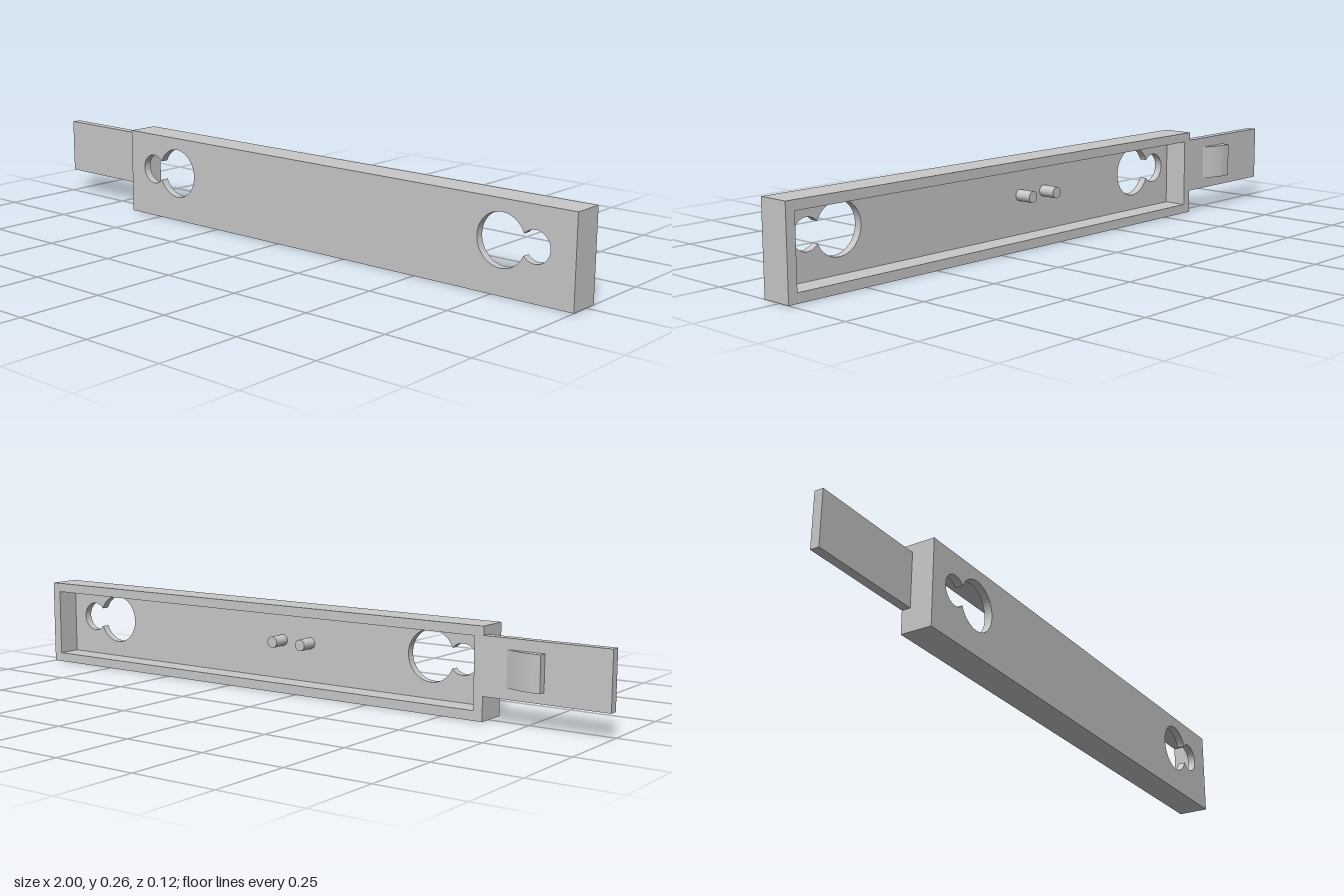
import * as THREE from 'three';

const X0 = -0.628, X1 = 1, H = 0.261, BACK = -0.036, FRONT = 0.06;
const WALL = 0.028, FLOOR = 0.024;

function rect(Type, x0, y0, x1, y1) {
  const p = new Type();
  p.moveTo(x0, y0);
  p.lineTo(x1, y0);
  p.lineTo(x1, y1);
  p.lineTo(x0, y1);
  p.closePath();
  return p;
}

// Keyhole outline: big circle at cx, small circle offset towards dir (+1 or -1)
function keyhole(cx, cy, dir) {
  const R = 0.075, r = 0.045, d = 0.103;
  const a = (d * d + R * R - r * r) / (2 * d);
  const bigA = Math.acos(a / R), smallA = Math.acos((d - a) / r);
  const pts = [], n = 40, m = 28;
  for (let i = 0; i <= n; i++) {
    const t = bigA + (2 * Math.PI - 2 * bigA) * i / n;
    pts.push(new THREE.Vector2(cx + dir * R * Math.cos(t), cy + R * Math.sin(t)));
  }
  for (let i = 1; i < m; i++) {
    const t = -(Math.PI - smallA) + 2 * (Math.PI - smallA) * i / m;
    pts.push(new THREE.Vector2(cx + dir * (d + r * Math.cos(t)), cy + r * Math.sin(t)));
  }
  return new THREE.Path(pts);
}

export function createModel() {
  const group = new THREE.Group();
  const grey = new THREE.MeshStandardMaterial({ color: 0xc8c8c8 });
  grey.name = 'lightGrey';

  const add = (name, geometry, x = 0, y = 0, z = 0) => {
    const mesh = new THREE.Mesh(geometry, grey);
    mesh.name = name;
    mesh.position.set(x, y, z);
    group.add(mesh);
  };
  const extrude = (shape, depth) =>
    new THREE.ExtrudeGeometry(shape, { depth, bevelEnabled: false, curveSegments: 16 });

  // Front plate with two mirrored keyholes
  const plate = rect(THREE.Shape, X0, 0, X1, H);
  plate.holes.push(keyhole(-0.422, 0.15, -1), keyhole(0.778, 0.15, 1));
  add('frontPlate', extrude(plate, FLOOR), 0, 0, FRONT - FLOOR);

  // Rim walls, open at the back
  const rim = rect(THREE.Shape, X0, 0, X1, H);
  rim.holes.push(rect(THREE.Path, X0 + WALL, WALL, X1 - WALL, H - WALL));
  add('rimWalls', extrude(rim, FRONT - FLOOR - BACK), 0, 0, BACK);

  // Two pegs on the inner floor
  const pegLength = 0.053;
  for (const x of [-0.003, 0.099]) {
    const peg = new THREE.CylinderGeometry(0.017, 0.017, pegLength, 24).rotateX(Math.PI / 2);
    add('peg', peg, x, 0.145, FRONT - FLOOR - pegLength / 2);
  }

  // Flat tongue flush with the back of the rim
  const tongueDepth = 0.027;
  add('tongue', new THREE.BoxGeometry(X0 + 1, 0.166, tongueDepth),
    (X0 - 1) / 2, 0.153, BACK + tongueDepth / 2);

  // Ramped catch on the back of the tongue
  const ramp = new THREE.Shape();
  ramp.moveTo(-0.81, -BACK);
  ramp.lineTo(-0.7, -BACK);
  ramp.quadraticCurveTo(-0.748, 0.057, -0.78, 0.06);
  ramp.lineTo(-0.81, 0.06);
  ramp.closePath();
  add('catch', extrude(ramp, 0.103).rotateX(-Math.PI / 2), 0, 0.102, 0);

  return group;
}
